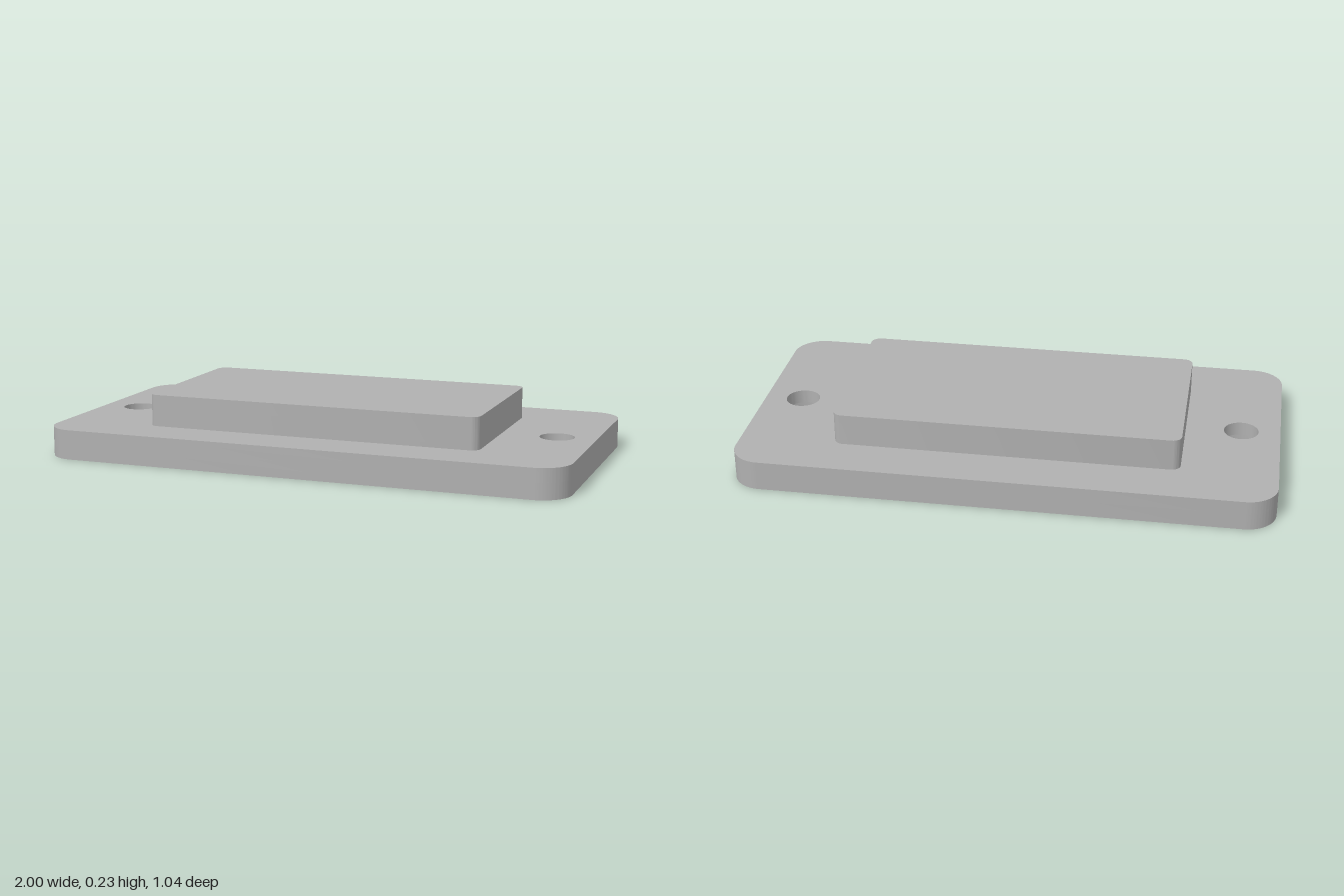
import * as THREE from 'three';
import { toCreasedNormals } from 'three/addons/utils/BufferGeometryUtils.js';

const HOLE_X = 0.853;

// Rounded rectangle centred on the origin
function roundedRect(w, d, r) {
  const x = w / 2, y = d / 2;
  const s = new THREE.Shape();
  s.moveTo(-x + r, -y);
  s.lineTo(x - r, -y);
  s.absarc(x - r, -y + r, r, -Math.PI / 2, 0, false);
  s.lineTo(x, y - r);
  s.absarc(x - r, y - r, r, 0, Math.PI / 2, false);
  s.lineTo(-x + r, y);
  s.absarc(-x + r, y - r, r, Math.PI / 2, Math.PI, false);
  s.lineTo(-x, -y + r);
  s.absarc(-x + r, -y + r, r, Math.PI, Math.PI * 1.5, false);
  return s;
}

// Flat slab from y0 to y1, with a pair of screw holes if holeRadius is given
function slab(name, material, w, d, r, y0, y1, holeRadius = 0) {
  const shape = roundedRect(w, d, r);
  if (holeRadius) {
    for (const side of [-1, 1]) {
      const hole = new THREE.Path();
      hole.absarc(side * HOLE_X, 0, holeRadius, 0, Math.PI * 2, true);
      shape.holes.push(hole);
    }
  }
  const extruded = new THREE.ExtrudeGeometry(shape, { depth: y1 - y0, bevelEnabled: false, curveSegments: 24 });
  extruded.rotateX(-Math.PI / 2).translate(0, y0, 0);
  const mesh = new THREE.Mesh(toCreasedNormals(extruded, Math.PI / 5), material);
  mesh.name = name;
  return mesh;
}

export function createModel() {
  const grey = new THREE.MeshStandardMaterial({ color: 0xb0b0b0 });
  grey.name = 'plain grey';

  const model = new THREE.Group();
  model.name = 'mountingPlate';

  // Base plate: wide counterbores below, narrow screw holes above
  const base = new THREE.Group();
  base.name = 'basePlate';
  base.add(
    slab('counterboreLayer', grey, 2, 1.036, 0.115, 0, 0.06, 0.112),
    slab('screwHoleLayer', grey, 2, 1.036, 0.115, 0.06, 0.112, 0.065),
  );

  // Raised block in the middle
  model.add(base, slab('raisedBlock', grey, 1.29, 0.666, 0.035, 0.112, 0.232));
  return model;
}
